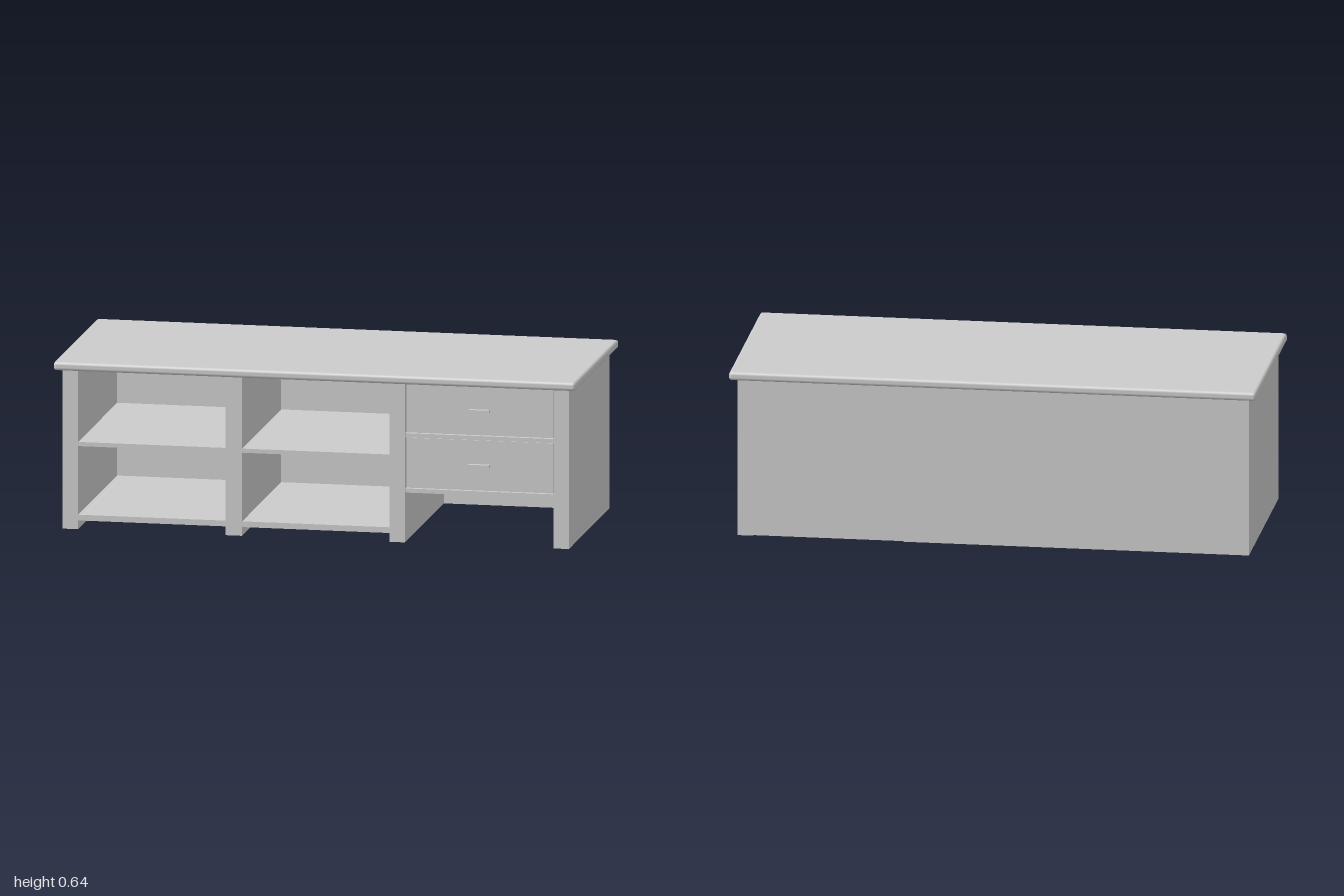
import * as THREE from 'three';
import { RoundedBoxGeometry } from 'three/addons/geometries/RoundedBoxGeometry.js';

export function createModel() {
  const model = new THREE.Group();
  model.name = 'counterCabinet';
  const material = new THREE.MeshStandardMaterial({ color: 0xcccccc });

  // Adds a mesh filling the given ranges; a radius rounds its edges.
  function board(name, [x0, x1], [y0, y1], [z0, z1], radius = 0) {
    const size = [x1 - x0, y1 - y0, z1 - z0];
    const geometry = radius
      ? new RoundedBoxGeometry(...size, 3, radius)
      : new THREE.BoxGeometry(...size);
    const mesh = new THREE.Mesh(geometry, material);
    mesh.name = name;
    mesh.position.set((x0 + x1) / 2, (y0 + y1) / 2, (z0 + z1) / 2);
    model.add(mesh);
    return mesh;
  }

  const top = 0.61, front = 0.388, back = -0.388;

  // Worktop with softened edges
  board('worktop', [-1, 1], [top, 0.643], [-0.415, 0.415], 0.012);

  // Upright panels: two sides and two dividers
  const uprights = [[-0.97, -0.91], [-0.345, -0.282], [0.282, 0.342], [0.91, 0.97]];
  const names = ['rightSide', 'shelfDivider', 'drawerDivider', 'leftSide'];
  uprights.forEach((x, i) => board(names[i], x, [0, top], [back, front]));

  // Open bays: back, bottom board and middle shelf
  for (let i = 0; i < 2; i++) {
    const bay = [uprights[i][1], uprights[i + 1][0]];
    board('bayBack', bay, [0, top], [back, back + 0.03]);
    board('bottomShelf', bay, [0.033, 0.055], [back + 0.03, front - 0.003]);
    board('middleShelf', bay, [0.318, 0.334], [back + 0.03, front - 0.003]);
  }

  // Drawer bay, with a slightly recessed back and an open space underneath
  const bay = [0.342, 0.91];
  board('drawerBayBack', bay, [0, top], [back + 0.008, back + 0.035]);
  for (const y of [0.19, 0.402]) {
    board('drawerRail', bay, [y, y + 0.016], [back + 0.035, front - 0.006]);
  }
  for (const [y0, y1] of [[0.208, 0.4], [0.42, 0.608]]) {
    board('drawer', [0.345, 0.907], [y0, y1], [back + 0.05, front - 0.012]);
    const y = (y0 + y1) / 2;
    // Slim bar pull
    board('drawerHandle', [0.585, 0.665], [y - 0.005, y + 0.005], [front - 0.014, front + 0.006]);
  }
  return model;
}
